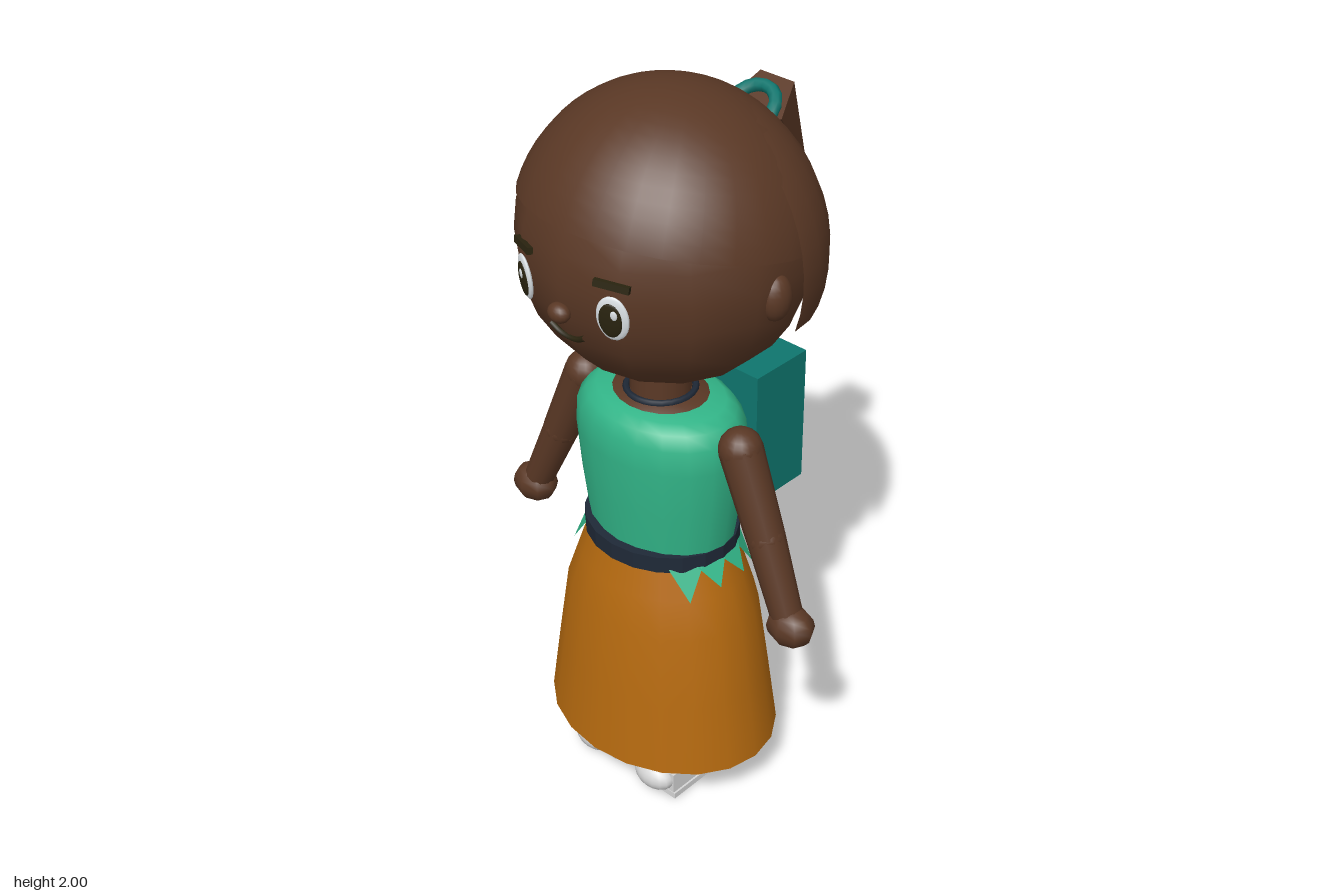
import * as THREE from 'three';

const mat = (name, color) => Object.assign(new THREE.MeshStandardMaterial({ color }), { name });

export function createModel() {
  const model = new THREE.Group();
  model.name = 'girlWithBackpack';
  const skin = mat('skin brown', 0x5a3825);
  const shirtGreen = mat('shirt green', 0x32b588);
  const teal = mat('backpack teal', 0x0f766e);
  const orange = mat('skirt orange', 0xb4690f);
  const navy = mat('belt navy', 0x1f2937);
  const shoeGrey = mat('shoe light grey', 0xd6d6d6);
  const white = mat('eye white', 0xe8eef2);
  const dark = mat('eye and brow dark', 0x2a2410);
  for (const m of [skin, shirtGreen, orange]) m.side = THREE.DoubleSide;

  const CZ = 0.1; // body axis
  const add = (name, geo, material, x = 0, y = 0, z = 0, parent = model) => {
    const mesh = new THREE.Mesh(geo, material);
    mesh.name = name;
    mesh.position.set(x, y, z);
    parent.add(mesh);
    return mesh;
  };
  const ball = (rx, ry, rz, w = 16, h = 12) => new THREE.SphereGeometry(1, w, h).scale(rx, ry, rz);
  // Oval lathe: points are [x radius, height], depth is the z ratio
  const oval = (pts, depth, seg = 20) =>
    new THREE.LatheGeometry(pts.map(p => new THREE.Vector2(...p)), seg).scale(1, 1, depth);
  // Tapered limb between two points
  const limb = (name, a, b, ra, rb) => {
    const dir = b.clone().sub(a);
    const m = add(name, new THREE.CylinderGeometry(rb, ra, dir.length(), 12), skin);
    m.position.copy(a).add(b).multiplyScalar(0.5);
    m.quaternion.setFromUnitVectors(new THREE.Vector3(0, 1, 0), dir.normalize());
  };

  // Head, neck and hair
  const HR = [0.372, 0.362, 0.36], HC = [0, 1.615, 0.075];
  add('head', ball(...HR, 14, 14).rotateY(Math.PI / 14), skin, ...HC);
  add('neck', new THREE.CylinderGeometry(0.075, 0.08, 0.2, 16), skin, 0, 1.23, CZ);
  const cap = add('hairCap', new THREE.SphereGeometry(1, 28, 14, 0, Math.PI * 2, 0, 1.42)
    .scale(0.382, 0.38, 0.367), skin, 0, 1.62, 0.075);
  cap.rotation.x = -0.225;
  add('backHair', new THREE.SphereGeometry(1, 14, 14, Math.PI, Math.PI, 0, 1.91)
    .scale(0.39, 0.39, 0.32), skin, 0, 1.6, 0.03);

  // Ponytail with its tie
  const tailDir = new THREE.Vector3(0, -0.275, -0.195).normalize();
  const tail = add('ponytail', new THREE.ConeGeometry(0.092, 0.337, 5).toNonIndexed(), skin, 0, 1.7125, -0.3575);
  tail.geometry.rotateY(Math.PI);
  tail.geometry.computeVertexNormals();
  tail.quaternion.setFromUnitVectors(new THREE.Vector3(0, 1, 0), tailDir);
  const tie = add('hairTie', new THREE.TorusGeometry(0.062, 0.017, 8, 16), teal, 0, 1.845, -0.228);
  tie.quaternion.setFromUnitVectors(new THREE.Vector3(0, 0, 1), tailDir);

  // A group sitting on the face surface, facing outward
  const onFace = (name, x, y) => {
    const dy = y - HC[1];
    const z = HR[2] * Math.sqrt(1 - (x / HR[0]) ** 2 - (dy / HR[1]) ** 2);
    const g = new THREE.Group();
    g.name = name;
    g.position.set(x, y, HC[2] + z);
    g.quaternion.setFromUnitVectors(new THREE.Vector3(0, 0, 1), new THREE.Vector3(x, dy, z).normalize());
    model.add(g);
    return g;
  };
  for (const s of [-1, 1]) {
    const eye = onFace('eye', s * 0.143, 1.58);
    add('eyeWhite', ball(0.041, 0.06, 0.01), white, 0, 0, 0, eye);
    add('iris', ball(0.029, 0.046, 0.006), dark, -s * 0.003, -0.002, 0.007, eye);
    add('eyeGlint', ball(0.009, 0.013, 0.003, 10, 6), white, 0.008, 0.016, 0.012, eye);
    const brow = onFace('eyebrow', s * 0.142, 1.664);
    add('browBar', new THREE.BoxGeometry(0.088, 0.017, 0.014), dark, 0, 0, 0.003, brow).rotation.z = -s * 0.06;
    add('ear', ball(0.035, 0.06, 0.043), skin, s * 0.352, 1.58, 0.083);
  }
  add('nose', ball(0.031, 0.025, 0.024), skin, 0, 1.552, 0.437);
  const smile = new THREE.CatmullRomCurve3([[-0.055, 0.012], [-0.03, -0.003], [0, -0.008], [0.03, -0.003], [0.055, 0.012]]
    .map(([x, y]) => new THREE.Vector3(x, y, -x * x * 1.4)));
  add('mouth', new THREE.TubeGeometry(smile, 16, 0.007, 6), dark, 0, 0, 0.001, onFace('mouthPlace', 0, 1.482));

  // Torso and clothes
  add('shirt', oval([[0.212, 0.77], [0.232, 0.92], [0.245, 1.06], [0.24, 1.13], [0.215, 1.165], [0.185, 1.185], [0.125, 1.19]],
    0.75), shirtGreen, 0, 0, CZ);
  add('upperChest', oval([[0.15, 1.16], [0.13, 1.192], [0.07, 1.196]], 0.85), skin, 0, 0, CZ);
  const necklace = add('necklace', new THREE.TorusGeometry(0.088, 0.009, 6, 24), navy, 0, 1.197, CZ);
  necklace.rotation.x = Math.PI / 2;
  add('belt', oval([[0.19, 0.755], [0.217, 0.755], [0.217, 0.802], [0.19, 0.802]], 0.87).toNonIndexed(), navy, 0, 0, CZ)
    .geometry.computeVertexNormals();
  add('skirt', oval([[0.342, 0.152], [0.312, 0.36], [0.28, 0.57], [0.245, 0.67], [0.212, 0.765]], 0.8), orange, 0, 0, CZ);

  // Ragged shirt hem showing below the belt on each side
  for (const s of [-1, 1]) {
    const pos = [];
    const at = (deg, y, r) => {
      const a = deg * Math.PI / 180;
      pos.push(s * r * Math.cos(a), y, CZ + r * 0.84 * Math.sin(a));
    };
    [[-34, 0.685], [-12, 0.71], [12, 0.71], [34, 0.68]].forEach(([deg, y]) => {
      at(deg - 13, 0.765, 0.219);
      at(deg, y, 0.255);
      at(deg + 13, 0.765, 0.219);
    });
    const geo = new THREE.BufferGeometry();
    geo.setAttribute('position', new THREE.Float32BufferAttribute(pos, 3));
    if (s > 0) geo.setIndex([...Array(12).keys()].map(i => i - (i % 3) + (2 - (i % 3))));
    geo.computeVertexNormals();
    add('shirtHem', geo, shirtGreen);
  }

  // Backpack
  add('backpack', new THREE.BoxGeometry(0.33, 0.39, 0.19), teal, 0, 1.005, -0.175);
  add('backpackPocket', new THREE.BoxGeometry(0.25, 0.185, 0.06), teal, 0, 0.8625, -0.28);

  // Arms, legs and shoes
  for (const s of [-1, 1]) {
    const shoulder = new THREE.Vector3(s * 0.268, 1.127, 0.1);
    const elbow = new THREE.Vector3(s * 0.362, 0.91, 0.108);
    const wrist = new THREE.Vector3(s * 0.448, 0.715, 0.12);
    add('shoulder', ball(0.057, 0.057, 0.057), skin, ...shoulder.toArray());
    limb('upperArm', shoulder, elbow, 0.057, 0.05);
    add('elbow', ball(0.05, 0.05, 0.05), skin, ...elbow.toArray());
    limb('forearm', elbow, wrist, 0.05, 0.042);
    add('hand', ball(0.067, 0.055, 0.056, 8, 8), skin, s * 0.463, 0.69, 0.122);

    add('leg', new THREE.CylinderGeometry(0.066, 0.061, 0.5, 14), skin, s * 0.113, 0.32, CZ);
    add('shoe', new THREE.BoxGeometry(0.135, 0.08, 0.21), shoeGrey, s * 0.115, 0.041, 0.15);
    add('shoeSole', new THREE.BoxGeometry(0.146, 0.018, 0.213), shoeGrey, s * 0.115, 0.009, 0.15);
    add('shoeToe', ball(0.064, 0.042, 0.042), shoeGrey, s * 0.115, 0.052, 0.258);
  }
  return model;
}
